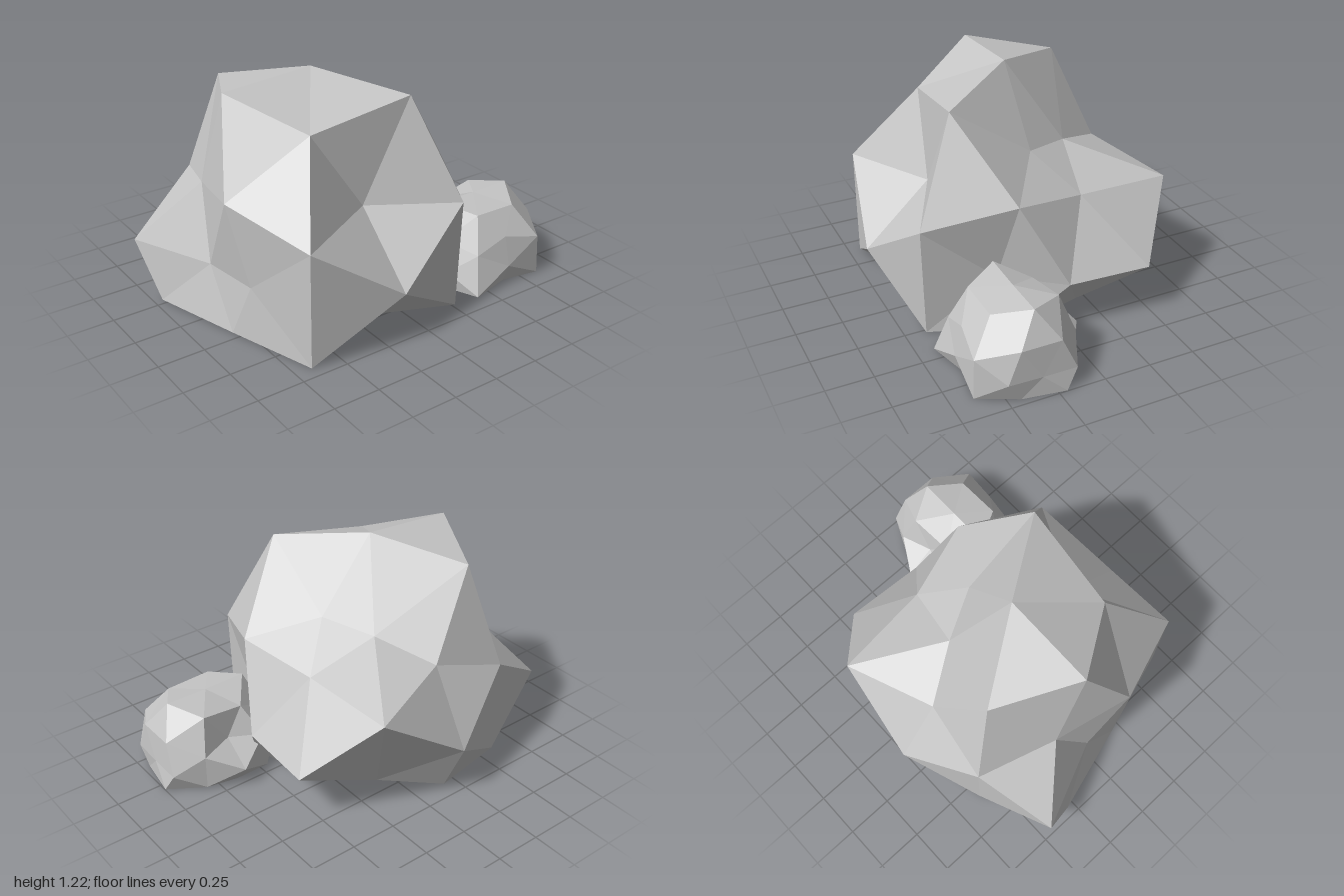
import * as THREE from 'three';

// Faceted boulder: a subdivided icosahedron whose corners are pushed in or out,
// then squashed and cut flat at the ground.
// radii: per family of corners, keyed by rounded |x|,|y|,|z| of the direction;
// each list is ordered by sign: +++ -++ +-+ --+ ++- -+- +-- ---
function boulder(name, material, center, scale, radii) {
  const geometry = new THREE.IcosahedronGeometry(1, 1);
  const pos = geometry.attributes.position;
  const v = new THREE.Vector3();
  const neg = (n) => (n < -1e-4 ? 1 : 0);
  for (let i = 0; i < pos.count; i++) {
    v.fromBufferAttribute(pos, i).normalize();
    const family = v.toArray().map((n) => Math.round(Math.abs(n) * 10)).join();
    const r = radii[family][neg(v.x) + 2 * neg(v.y) + 4 * neg(v.z)];
    v.multiplyScalar(r).multiply(scale).add(center);
    pos.setXYZ(i, v.x, Math.max(0, v.y), v.z);
  }
  geometry.deleteAttribute('uv');
  geometry.computeVertexNormals();
  const mesh = new THREE.Mesh(geometry, material);
  mesh.name = name;
  return mesh;
}

export function createModel() {
  const group = new THREE.Group();
  group.name = 'rocks';
  const stone = new THREE.MeshStandardMaterial({ color: 0xc5c5c5, flatShading: true });
  stone.name = 'light grey stone';

  // Large boulder
  group.add(boulder('largeRock', stone,
    new THREE.Vector3(-0.18, 0.29, -0.02), new THREE.Vector3(1, 1.085, 0.905), {
      '10,0,0': [0.77, 0.62],
      '0,10,0': [0.857, 0, 0.8],
      '0,0,10': [0.89, 0, 0, 0, 0.85],
      '5,9,0': [0.59, 0.97, 0.7, 0.7],
      '0,5,9': [0.584, 0, 0.61, 0, 0.695, 0, 0.83],
      '9,0,5': [0.63, 0.68, 0, 0, 0.935, 0.963],
      '5,3,8': [0.92, 0.96, 0.9, 0.96, 0.965, 0.81, 0.64, 0.8],
      '8,5,3': [0.795, 0.8, 0.75, 0.78, 0.65, 0.674, 0.63, 0.957],
      '3,8,5': [0.96, 0.85, 0.75, 0.75, 0.57, 0.94, 0.65, 0.8],
    }));

  // Small boulder leaning against its side
  group.add(boulder('smallRock', stone,
    new THREE.Vector3(0.645, 0.105, 0.325), new THREE.Vector3(1, 0.86, 0.89), {
      '10,0,0': [0.33, 0.33],
      '0,10,0': [0.37, 0, 0.4],
      '0,0,10': [0.35, 0, 0, 0, 0.4],
      '5,9,0': [0.44, 0.44, 0.4, 0.4],
      '0,5,9': [0.36, 0, 0.36, 0, 0.26, 0, 0.36],
      '9,0,5': [0.38, 0.37, 0, 0, 0.39, 0.36],
      '5,3,8': [0.42, 0.37, 0.43, 0.46, 0.35, 0.36, 0.35, 0.38],
      '8,5,3': [0.39, 0.35, 0.39, 0.4, 0.39, 0.36, 0.435, 0.38],
      '3,8,5': [0.4, 0.41, 0.4, 0.4, 0.41, 0.36, 0.4, 0.4],
    }));

  return group;
}
